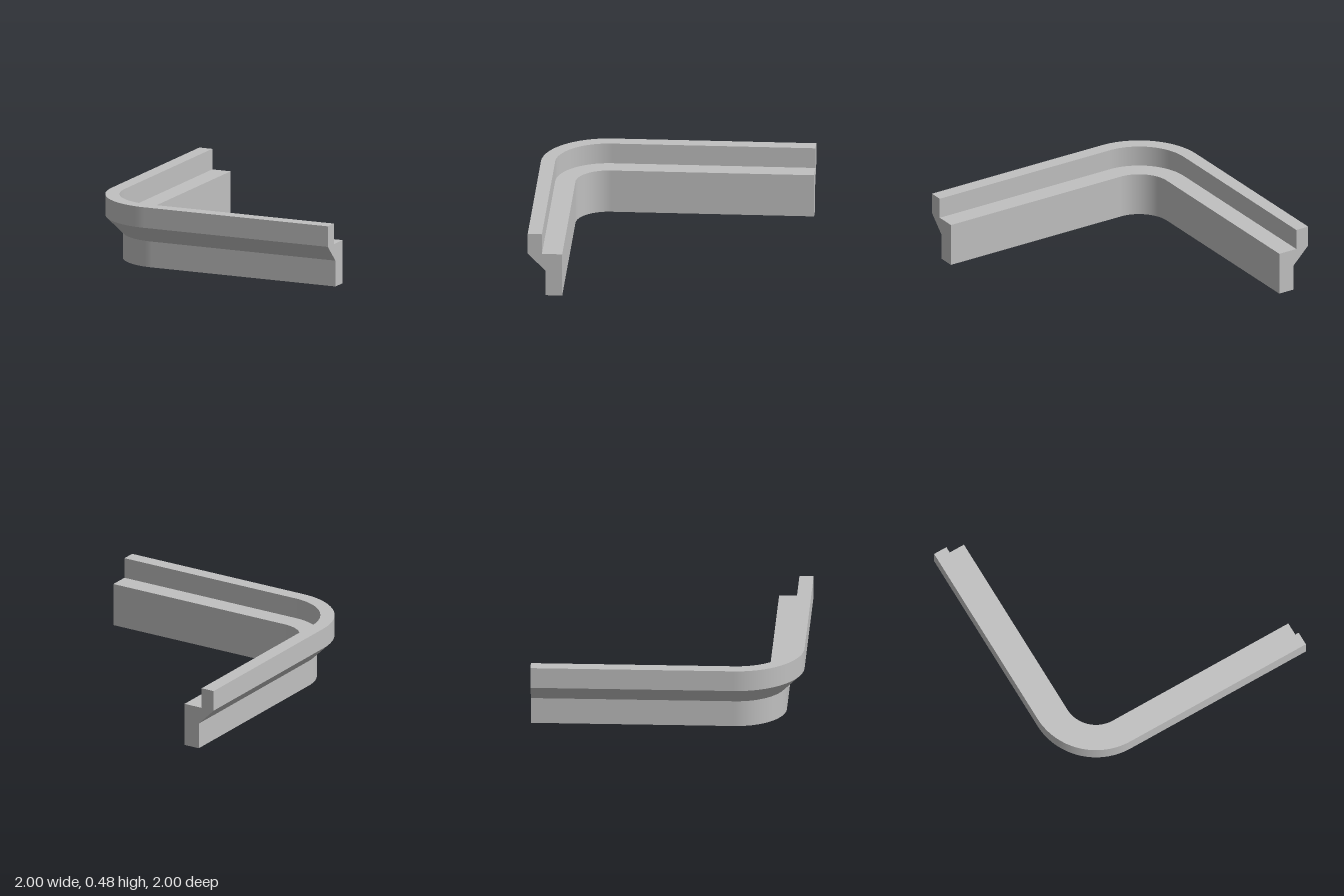
import * as THREE from 'three';

const RADIUS = 0.5; // outer radius of the bend
// Cross-section, counter-clockwise: [distance outward from the bend axis, height]
const PROFILE = [
  [0.245, 0], [0.37, 0], [0.37, 0.195], [0.5, 0.325],
  [0.5, 0.48], [0.395, 0.48], [0.395, 0.325], [0.245, 0.325],
];

// Stations along the run: straight leg, quarter bend, straight leg
function makeStations(segments) {
  const c = 1 - RADIUS;
  const list = [{ x: -c, z: -1, a: 0 }];
  for (let i = 0; i <= segments; i++) list.push({ x: -c, z: c, a: (i / segments) * Math.PI / 2 });
  list.push({ x: 1, z: c, a: Math.PI / 2 });
  return list.map(s => ({ ...s, nx: -Math.cos(s.a), nz: Math.sin(s.a) }));
}

const place = (s, [r, y]) => [s.x + s.nx * r, y, s.z + s.nz * r];

function geometryFrom(position, normal, index) {
  const g = new THREE.BufferGeometry();
  g.setAttribute('position', new THREE.Float32BufferAttribute(position, 3));
  g.setAttribute('normal', new THREE.Float32BufferAttribute(normal, 3));
  g.setIndex(index);
  return g;
}

// One strip per profile edge: smooth round the bend, sharp between edges
function sweepGeometry(stations) {
  const pos = [], nor = [], idx = [];
  PROFILE.forEach((p, k) => {
    const q = PROFILE[(k + 1) % PROFILE.length];
    const len = Math.hypot(q[0] - p[0], q[1] - p[1]);
    const nr = (q[1] - p[1]) / len, ny = (p[0] - q[0]) / len;
    stations.forEach((s, i) => {
      const a = pos.length / 3;
      pos.push(...place(s, p), ...place(s, q));
      for (let j = 0; j < 2; j++) nor.push(s.nx * nr, ny, s.nz * nr);
      if (i < stations.length - 1) idx.push(a, a + 2, a + 3, a, a + 3, a + 1);
    });
  });
  return geometryFrom(pos, nor, idx);
}

// Flat end face; the far end is wound the other way
function capGeometry(s, far) {
  const faces = THREE.ShapeUtils.triangulateShape(PROFILE.map(p => new THREE.Vector2(...p)), []);
  const sign = far ? 1 : -1;
  const pos = PROFILE.flatMap(p => place(s, p));
  const nor = PROFILE.flatMap(() => [sign * s.nz, 0, sign * -s.nx]);
  return geometryFrom(pos, nor, faces.flatMap(([a, b, c]) => (far ? [a, c, b] : [a, b, c])));
}

export function createModel() {
  const group = new THREE.Group();
  group.name = 'cornerMoulding';
  const grey = new THREE.MeshStandardMaterial({ color: 0xc0c0c0 });
  grey.name = 'light grey';
  const add = (name, geometry) => {
    const mesh = new THREE.Mesh(geometry, grey);
    mesh.name = name;
    group.add(mesh);
  };

  const stations = makeStations(32);
  add('mouldingBody', sweepGeometry(stations));
  add('backEndFace', capGeometry(stations[0], false));
  add('leftEndFace', capGeometry(stations[stations.length - 1], true));
  return group;
}
